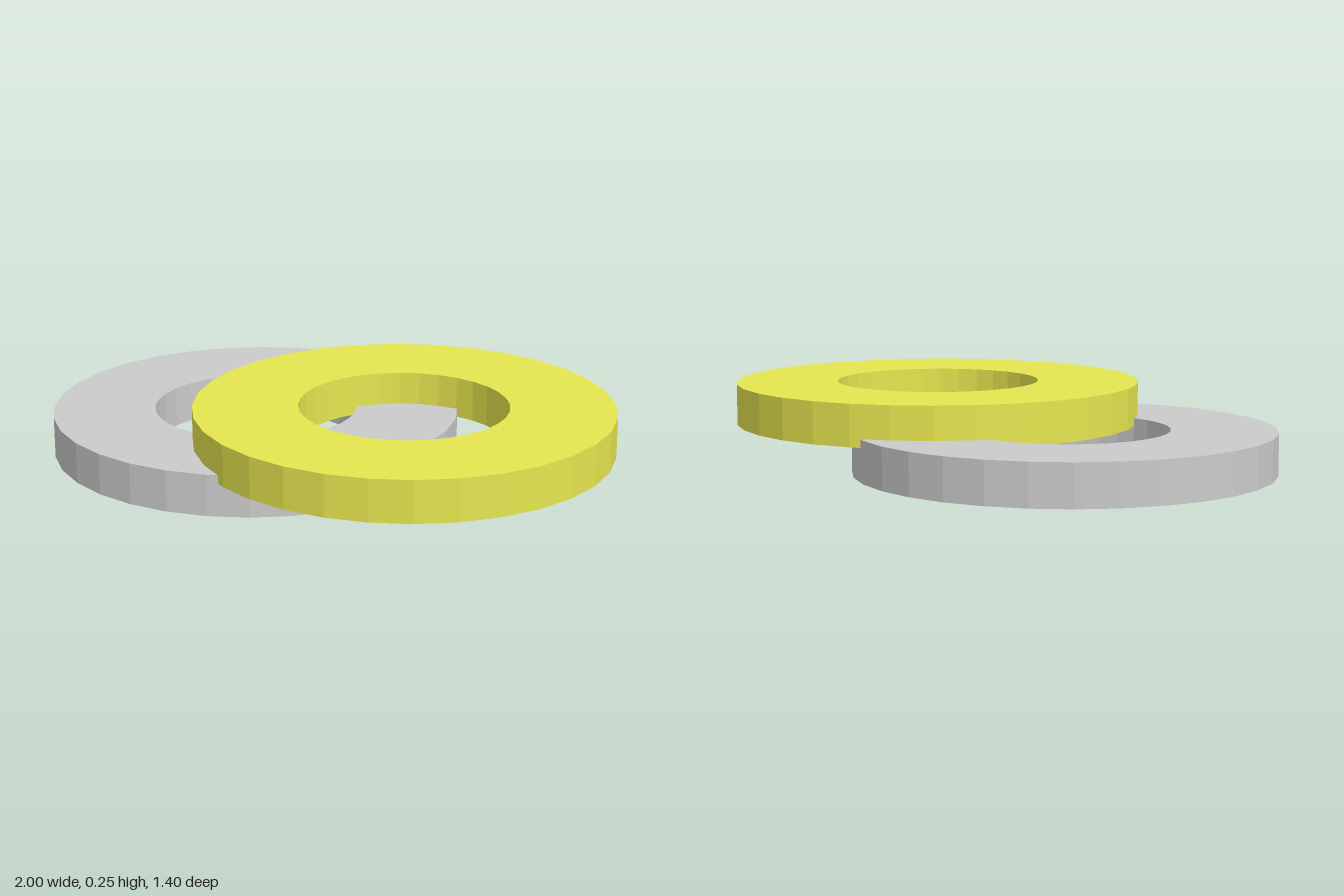
import * as THREE from 'three';

const OUTER = 0.7, INNER = 0.35, HEIGHT = 0.14, SIDES = 32;

// Flat washer with a rectangular section, standing on its own y = 0
function ring(name, color, x, y) {
  const profile = [
    [OUTER, 0], [OUTER, HEIGHT], [INNER, HEIGHT], [INNER, 0], [OUTER, 0],
  ].map(([r, h]) => new THREE.Vector2(r, h));
  const mesh = new THREE.Mesh(
    new THREE.LatheGeometry(profile, SIDES),
    new THREE.MeshStandardMaterial({ color, flatShading: true }),
  );
  mesh.name = name;
  mesh.position.set(x, y, 0);
  return mesh;
}

export function createModel() {
  const model = new THREE.Group();
  model.name = 'overlappingRings';
  // The upper ring sinks slightly into the lower one
  model.add(ring('lowerRing', 0xcccccc, -0.3, 0));
  model.add(ring('upperRing', 0xe6e650, 0.3, 0.112));
  return model;
}
